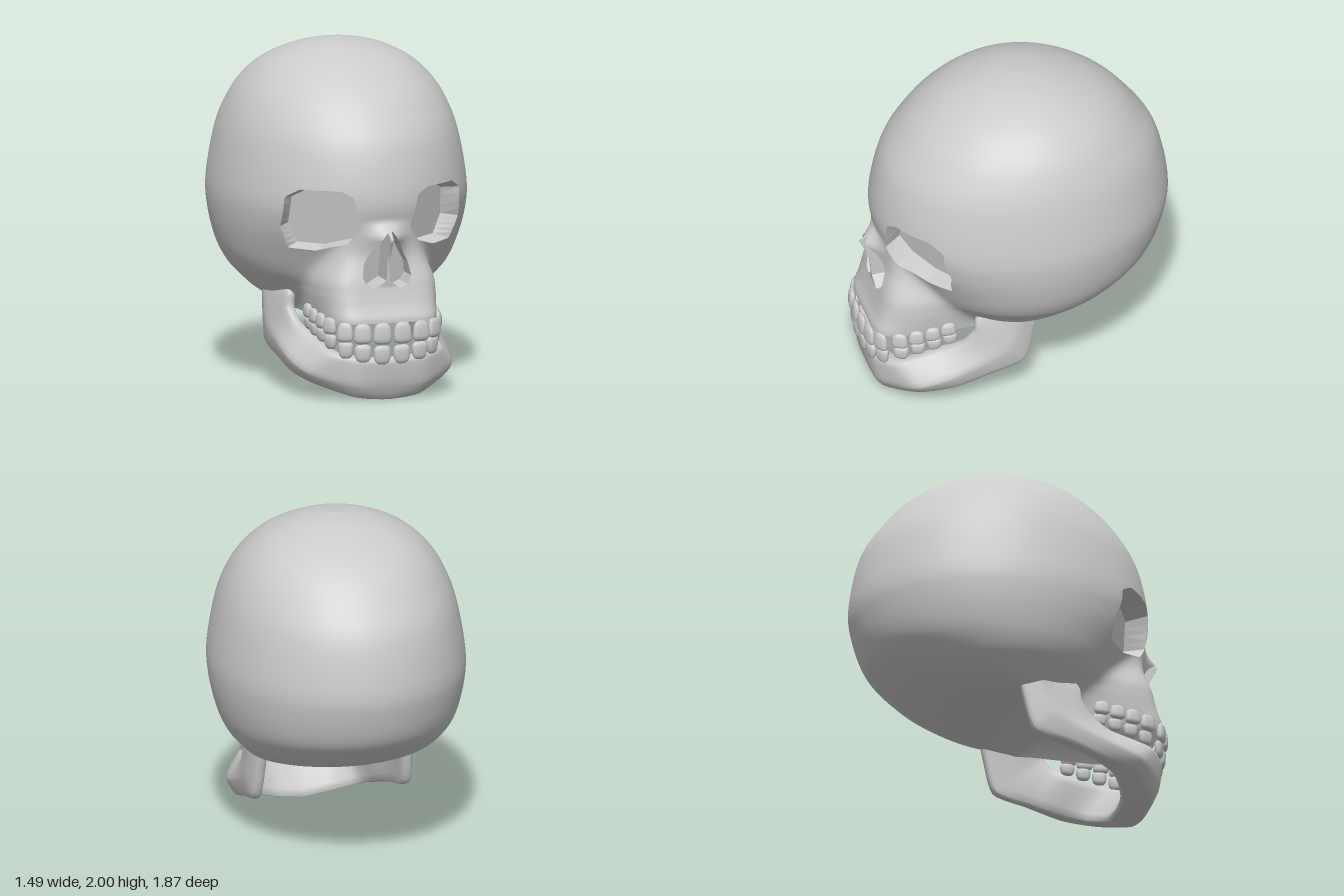
import * as THREE from 'three';
import { mergeVertices } from 'three/addons/utils/BufferGeometryUtils.js';

const bone = new THREE.MeshStandardMaterial({ color: 0xcccccc });
const thin = new THREE.MeshStandardMaterial({ color: 0xcccccc, side: THREE.DoubleSide });

// Horizontal sections, crown to base:
// y, half width, centre z, front z, back z, muzzle half width, muzzle front z
const sections = [
  [2.0, 0.0005, -0.05, -0.0495, -0.0505, 0.0001, -0.0499],
  [1.97, 0.22, -0.05, 0.17, -0.25, 0.01, -0.04],
  [1.89, 0.41, -0.05, 0.37, -0.47, 0.02, -0.03],
  [1.79, 0.53, -0.05, 0.52, -0.63, 0.05, 0],
  [1.66, 0.62, -0.05, 0.65, -0.75, 0.1, 0.1],
  [1.47, 0.69, -0.05, 0.77, -0.87, 0.15, 0.2],
  [1.18, 0.74, -0.05, 0.83, -0.93, 0.2, 0.55],
  [1.0, 0.735, -0.05, 0.79, -0.91, 0.22, 0.73],
  [0.82, 0.695, -0.05, 0.68, -0.84, 0.3, 0.78],
  [0.7, 0.64, -0.05, 0.61, -0.71, 0.355, 0.82],
  [0.62, 0.57, -0.05, 0.55, -0.58, 0.365, 0.84],
  [0.55, 0.5, 0, 0.46, -0.38, 0.36, 0.86],
  [0.49, 0.4, 0.1, 0.36, -0.06, 0.35, 0.885],
  [0.46, 0.35, 0.14, 0.3, 0.02, 0.345, 0.89],
];
const spline = (pts, closed = false, tension = 0.5) => new THREE.CatmullRomCurve3(pts, closed, 'catmullrom', tension);
const column = (a, b, c) => spline(sections.map((s) => new THREE.Vector3(s[a], s[b], s[c])));
const curves = [column(0, 1, 2), column(3, 4, 5), column(6, 6, 6)];

// Point on the skull: t runs crown to base, theta runs round from the front
function skullPoint(t, theta) {
  const [{ x: y, y: w, z: zc }, { x: zf, y: zb, z: mw }, { x: mf }] = curves.map((c) => c.getPoint(t));
  const s = Math.sin(theta), c = Math.cos(theta);
  let r = 1 / Math.hypot(s / w, c / (c > 0 ? zf - zc : zc - zb));
  if (c > 0) {
    const m = ((Math.abs(s) / mw) ** 6 + (c / (mf - zc)) ** 6) ** (-1 / 6);
    r *= (1 + (m / r) ** 16) ** (1 / 16);
  }
  const p = new THREE.Vector3(r * s, y, zc + r * c);
  // nasal ridge, rising sharply below the brow and fading downward
  if (c > 0 && y < 1.04 && y > 0.66) {
    const k = y > 0.95 ? (1.04 - y) / 0.09 : (y - 0.66) / 0.29;
    p.z += 0.115 * k * Math.exp(-((p.x / 0.09) ** 2));
  }
  return p;
}

function bisect(f, lo, hi) {
  for (let i = 0; i < 30; i++) {
    const mid = (lo + hi) / 2;
    if (f(mid) > 0) hi = mid; else lo = mid;
  }
  return lo;
}
function onFront(x, y) {
  const t = bisect((v) => y - skullPoint(v, 0).y, 0, 1);
  const a = bisect((v) => skullPoint(t, v).x - Math.abs(x), 0, 1.3);
  return new THREE.Vector3(x, y, skullPoint(t, a).z);
}

// Convex outlines of the openings on the left side, clockwise from the front
const eye = [[0.15, 1.0], [0.2, 1.19], [0.27, 1.23], [0.47, 1.23], [0.54, 1.18],
  [0.55, 1.0], [0.5, 0.87], [0.36, 0.86], [0.22, 0.91]];
const nose = [[0.01, 1.0], [0.075, 0.91], [0.135, 0.8], [0.15, 0.72], [0.125, 0.67], [0.08, 0.65],
  [0.01, 0.7], [0.01, 0.95]];

// Signed distance to an outline, negative inside
function outside(outline, p) {
  if (p.z < 0.3) return 1;
  const x = Math.abs(p.x);
  return Math.max(...outline.map(([ax, ay], i) => {
    const [bx, by] = outline[(i + 1) % outline.length];
    return ((bx - ax) * (p.y - ay) - (by - ay) * (x - ax)) / Math.hypot(bx - ax, by - ay);
  }));
}

function gridGeometry(rows) {
  const n = rows[0].length, index = [];
  for (let i = 0; i < rows.length - 1; i++) {
    for (let j = 0; j < n; j++) {
      const k = (j + 1) % n, a = i * n + j, b = a + n, c = (i + 1) * n + k, d = i * n + k;
      index.push(a, b, c, a, c, d);
    }
  }
  const g = new THREE.BufferGeometry().setFromPoints(rows.flat());
  g.setIndex(index);
  g.computeVertexNormals();
  return g;
}

// Cut an opening: keep the part of every triangle lying outside the outline
function cutOpening(tris, outline) {
  const out = [];
  for (const tri of tris) {
    const f = tri.map((v) => outside(outline, v.p));
    if (f.every((v) => v >= 0)) { out.push(tri); continue; }
    const poly = [];
    tri.forEach((v, i) => {
      const j = (i + 1) % 3;
      if (f[i] >= 0) poly.push(v);
      if ((f[i] >= 0) !== (f[j] >= 0)) {
        const k = f[i] / (f[i] - f[j]);
        poly.push({ p: v.p.clone().lerp(tri[j].p, k), n: v.n.clone().lerp(tri[j].n, k) });
      }
    });
    for (let i = 1; i < poly.length - 1; i++) out.push([poly[0], poly[i], poly[i + 1]]);
  }
  return out;
}

function skullGeometry() {
  const rows = [], N = 120, M = 180;
  for (let i = 0; i <= N; i++) {
    const row = [];
    for (let j = 0; j < M; j++) {
      const u = (j / M) * Math.PI * 2;
      row.push(skullPoint(i / N, u - 0.5 * Math.sin(u))); // finer toward the face
    }
    rows.push(row);
  }
  const grid = gridGeometry(rows);
  const pos = grid.attributes.position, nor = grid.attributes.normal, ix = grid.index.array;
  const verts = Array.from({ length: pos.count }, (_, i) => ({
    p: new THREE.Vector3().fromBufferAttribute(pos, i), n: new THREE.Vector3().fromBufferAttribute(nor, i) }));
  let tris = [];
  for (let i = 0; i < ix.length; i += 3) tris.push([verts[ix[i]], verts[ix[i + 1]], verts[ix[i + 2]]]);
  tris = cutOpening(cutOpening(tris, eye), nose);
  // base and palate, shaded smoothly into the sides
  const base = verts.slice(N * M), centre = { p: new THREE.Vector3(0, 0.46, 0.25), n: new THREE.Vector3(0, -1, 0) };
  base.forEach((v, j) => tris.push([v, centre, base[(j + 1) % M]]));
  const g = new THREE.BufferGeometry();
  const flat = tris.flat();
  g.setAttribute('position', new THREE.Float32BufferAttribute(flat.flatMap((v) => v.p.toArray()), 3));
  g.setAttribute('normal', new THREE.Float32BufferAttribute(flat.flatMap((v) => v.n.toArray()), 3));
  return g;
}

// Walls of an opening, running from its rim to a flat floor tilted by slopeX and slopeY
function cavity(name, outline, side, { inward, depth, shrink, slopeX, slopeY }) {
  const rim = [];
  outline.forEach(([ax, ay], i) => {
    const [bx, by] = outline[(i + 1) % outline.length];
    for (let k = 0; k < 4; k++) rim.push(onFront(ax + ((bx - ax) * k) / 4, ay + ((by - ay) * k) / 4));
  });
  const mid = rim.reduce((s, p) => s.add(p), new THREE.Vector3()).divideScalar(rim.length);
  const back = rim.map((p) => new THREE.Vector3(p.x - inward, mid.y + (p.y - mid.y) * shrink,
    mid.z - depth + slopeX * (p.x - mid.x) + slopeY * (p.y - mid.y)));
  const centre = new THREE.Vector3(mid.x - inward, mid.y, mid.z - depth);
  const rows = [rim, back, back.map(() => centre)].map((r) => r.map((p) => new THREE.Vector3(p.x * side, p.y, p.z)));
  const g = gridGeometry(rows).toNonIndexed();
  g.computeVertexNormals();
  const mesh = new THREE.Mesh(g, thin);
  mesh.name = name;
  return mesh;
}

// Lower jaw: half sections from chin to hinge (bottom, outer, top outer, top inner, bottom inner)
const jawHalf = [
  [[0, 0, 0.83], [0, 0.1, 0.88], [0, 0.24, 0.9], [0, 0.24, 0.8], [0, 0.005, 0.65]],
  [[0.2, 0.02, 0.81], [0.22, 0.1, 0.86], [0.2, 0.25, 0.88], [0.17, 0.25, 0.78], [0.17, 0.03, 0.64]],
  [[0.4, 0.09, 0.66], [0.44, 0.16, 0.7], [0.35, 0.28, 0.77], [0.28, 0.28, 0.7], [0.32, 0.09, 0.56]],
  [[0.46, 0.13, 0.46], [0.49, 0.22, 0.5], [0.385, 0.34, 0.52], [0.32, 0.34, 0.48], [0.38, 0.14, 0.43]],
  [[0.48, 0.2, 0.25], [0.5, 0.3, 0.3], [0.43, 0.4, 0.4], [0.37, 0.4, 0.38], [0.41, 0.2, 0.25]],
  [[0.48, 0.26, 0.05], [0.505, 0.37, 0.16], [0.45, 0.48, 0.33], [0.39, 0.48, 0.32], [0.42, 0.26, 0.06]],
  [[0.47, 0.45, -0.01], [0.5, 0.5, 0.1], [0.44, 0.56, 0.32], [0.38, 0.56, 0.3], [0.41, 0.46, 0]],
  [[0.46, 0.58, -0.04], [0.5, 0.61, 0.08], [0.42, 0.63, 0.28], [0.36, 0.63, 0.26], [0.4, 0.58, -0.02]],
];
function jawGeometry() {
  const mirrored = jawHalf.slice(1).reverse().map((s) => s.map(([x, y, z]) => [-x, y, z]));
  const all = [...mirrored, ...jawHalf];
  const rails = [0, 1, 2, 3, 4].map((k) => spline(all.map((s) => new THREE.Vector3(...s[k])), false, 0.35));
  const rows = [];
  for (let i = 0; i <= 70; i++) {
    const ring = spline(rails.map((r) => r.getPoint(i / 70)), true, 0.25);
    rows.push(Array.from({ length: 20 }, (_, j) => {
      const p = ring.getPoint(j / 20);
      p.y = Math.max(p.y, 0);
      return p;
    }));
  }
  return gridGeometry(rows);
}

// Rounded tooth, narrower toward the root at +y
function toothGeometry() {
  const g = new THREE.SphereGeometry(1, 16, 10);
  g.deleteAttribute('uv');
  const p = g.attributes.position, soft = (v) => Math.sign(v) * Math.abs(v) ** 0.65;
  for (let i = 0; i < p.count; i++) {
    const y = soft(p.getY(i)), k = 0.92 - 0.12 * y;
    p.setXYZ(i, soft(p.getX(i)) * k, y, p.getZ(i) * k);
  }
  const merged = mergeVertices(g, 1e-4);
  merged.computeVertexNormals();
  return merged;
}
// x, z, turn, upper y, lower y, half width, half height
const toothRow = [
  [0.062, 0.912, 0.05, 0.402, 0.275, 0.06, 0.064], [0.18, 0.9, 0.2, 0.405, 0.288, 0.058, 0.06],
  [0.275, 0.858, 0.55, 0.412, 0.308, 0.052, 0.058], [0.335, 0.76, 1.15, 0.44, 0.345, 0.052, 0.05],
  [0.355, 0.665, 1.4, 0.458, 0.372, 0.05, 0.046], [0.365, 0.57, 1.5, 0.472, 0.392, 0.05, 0.044],
  [0.365, 0.475, 1.55, 0.488, 0.412, 0.05, 0.042],
];
const eyeCavity = { inward: 0.08, depth: 0.1, shrink: 0.88, slopeX: -0.65, slopeY: 0.15 };
const noseCavity = { inward: 0, depth: 0.13, shrink: 0.95, slopeX: 0, slopeY: 0.2 };

export function createModel() {
  const model = new THREE.Group();
  model.name = 'skull';
  const add = (name, geometry) => {
    const mesh = new THREE.Mesh(geometry, bone);
    mesh.name = name;
    model.add(mesh);
    return mesh;
  };
  add('cranium', skullGeometry());
  add('lowerJaw', jawGeometry());
  const tooth = toothGeometry();
  for (const [side, label] of [[1, 'left'], [-1, 'right']]) {
    model.add(cavity(label + 'EyeSocket', eye, side, eyeCavity));
    model.add(cavity(label + 'NoseOpening', nose, side, noseCavity));
    for (const [x, z, turn, upperY, lowerY, w, h] of toothRow) {
      const upper = add(label + 'UpperTooth', tooth);
      upper.position.set(x * side, upperY, z);
      upper.rotation.y = turn * side;
      upper.scale.set(w, h, 0.025);
      const lower = add(label + 'LowerTooth', tooth);
      lower.position.set(x * 0.97 * side, lowerY, z - 0.012);
      lower.rotation.set(0, turn * side, Math.PI);
      lower.scale.set(w * 0.92, h * 0.88, 0.025);
    }
  }
  return model;
}
